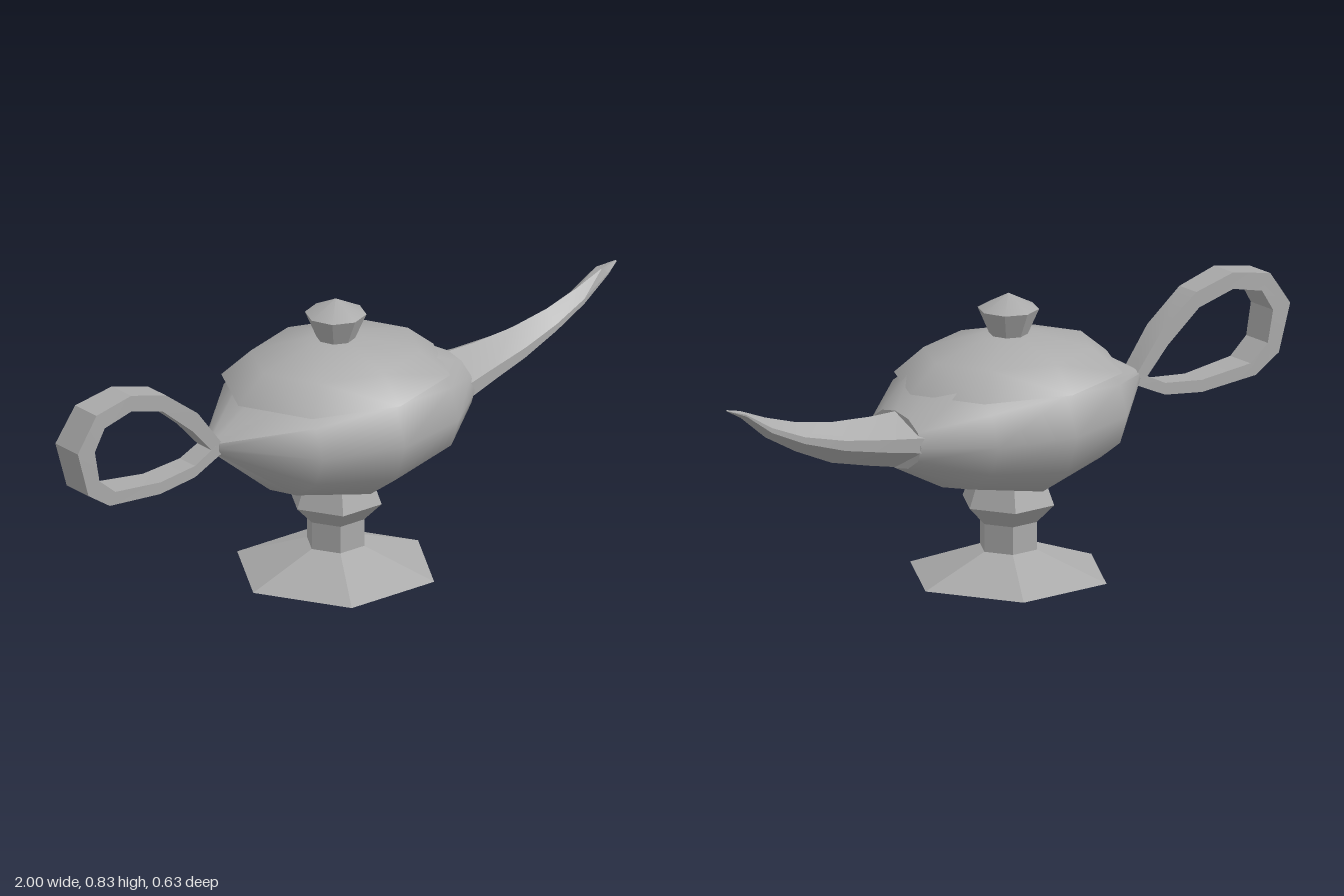
import * as THREE from 'three';
import { toCreasedNormals } from 'three/addons/utils/BufferGeometryUtils.js';

const CENTER_X = -0.02;

// Skin a row of equal-length point rings, with both ends capped.
function loft(rings, crease) {
  const n = rings[0].length;
  const index = [];
  for (let i = 0; i < rings.length - 1; i++) {
    for (let j = 0; j < n; j++) {
      const k = (j + 1) % n;
      const a = i * n + j, b = (i + 1) * n + j, c = (i + 1) * n + k, d = i * n + k;
      index.push(a, b, c, a, c, d);
    }
  }
  const end = (rings.length - 1) * n;
  for (let j = 1; j < n - 1; j++) {
    index.push(0, j, j + 1, end, end + j + 1, end + j);
  }
  const geometry = new THREE.BufferGeometry();
  geometry.setAttribute('position', new THREE.Float32BufferAttribute(rings.flat(2), 3));
  geometry.setIndex(index);
  return toCreasedNormals(geometry, crease);
}

// Turned part: profile of [radius, y] from bottom to top.
function turned(profile, sides, crease, sx = 1, sz = 1) {
  const points = profile.map(([r, y]) => new THREE.Vector2(r, y));
  const geometry = new THREE.LatheGeometry(points, sides, Math.PI / 2);
  geometry.scale(sx, 1, sz);
  geometry.translate(CENTER_X, 0, 0);
  return toCreasedNormals(geometry, crease);
}

export function createModel() {
  const lamp = new THREE.Group();
  lamp.name = 'oilLamp';
  const metal = new THREE.MeshStandardMaterial({ color: 0xaaaaaa });
  metal.name = 'greyMetal';

  const add = (name, geometry) => {
    const mesh = new THREE.Mesh(geometry, metal);
    mesh.name = name;
    lamp.add(mesh);
  };

  // Hexagonal foot with a flared base and a collar
  add('foot', turned(
    [[0, 0], [0.3, 0], [0.087, 0.078], [0.087, 0.16], [0.14, 0.215], [0.115, 0.28], [0, 0.28]], 6, 0.35));

  // Bowl: twelve-sided sections along x as [x, centre y, half height, half width]
  const bowl = [
    [-0.47, 0.5, 0.025, 0.035],
    [-0.26, 0.475, 0.172, 0.24],
    [-0.02, 0.475, 0.228, 0.315],
    [0.22, 0.475, 0.177, 0.26],
    [0.39, 0.472, 0.085, 0.12],
  ].map(([x, cy, ry, rz]) => Array.from({ length: 12 }, (_, i) => {
    const a = (i / 12) * Math.PI * 2;
    return [x, cy - ry * Math.cos(a), rz * Math.sin(a)];
  }));
  add('bowl', loft(bowl, 0.9));

  // Oval octagonal lid and its knob
  add('lid', turned(
    [[0, 0.594], [1, 0.594], [0.74, 0.668], [0.24, 0.71], [0, 0.712]], 8, 0.9, 0.355, 0.292));
  add('knob', turned(
    [[0, 0.7], [0.053, 0.705], [0.088, 0.785], [0, 0.83]], 8, 0.7));

  // Spout: keeled sections as [x, keel y, low side y, high side y, ridge y, half width]
  const spout = [
    [0.37, 0.385, 0.455, 0.5, 0.555, 0.122],
    [0.48, 0.41, 0.47, 0.508, 0.556, 0.092],
    [0.62, 0.445, 0.495, 0.525, 0.566, 0.064],
    [0.75, 0.503, 0.535, 0.555, 0.59, 0.043],
    [0.86, 0.565, 0.585, 0.6, 0.624, 0.032],
    [0.95, 0.64, 0.65, 0.655, 0.66, 0.028],
    [1.0, 0.668, 0.669, 0.67, 0.672, 0.004],
  ].map(([x, keel, low, high, ridge, w]) => [
    [x, keel, 0], [x, low, w], [x, high, w], [x, ridge, 0], [x, high, -w], [x, low, -w],
  ]);
  add('spout', loft(spout, 0.4));

  // Looped handle: outer and inner edge points, widening away from the bowl
  const handle = [
    [-0.45, 0.5, -0.475, 0.475],
    [-0.55, 0.63, -0.57, 0.58],
    [-0.67, 0.72, -0.68, 0.672],
    [-0.8, 0.755, -0.8, 0.706],
    [-0.93, 0.73, -0.9, 0.683],
    [-1.0, 0.63, -0.938, 0.62],
    [-0.96, 0.49, -0.92, 0.525],
    [-0.88, 0.437, -0.86, 0.475],
    [-0.69, 0.42, -0.69, 0.456],
    [-0.56, 0.435, -0.56, 0.47],
    [-0.45, 0.485, -0.46, 0.52],
  ].map(([ox, oy, ix, iy]) => {
    const w = THREE.MathUtils.mapLinear(ox, -0.45, -1, 0.031, 0.051);
    return [[ox, oy, -w], [ox, oy, w], [ix, iy, w], [ix, iy, -w]];
  });
  add('handle', loft(handle, 0.35));

  return lamp;
}
